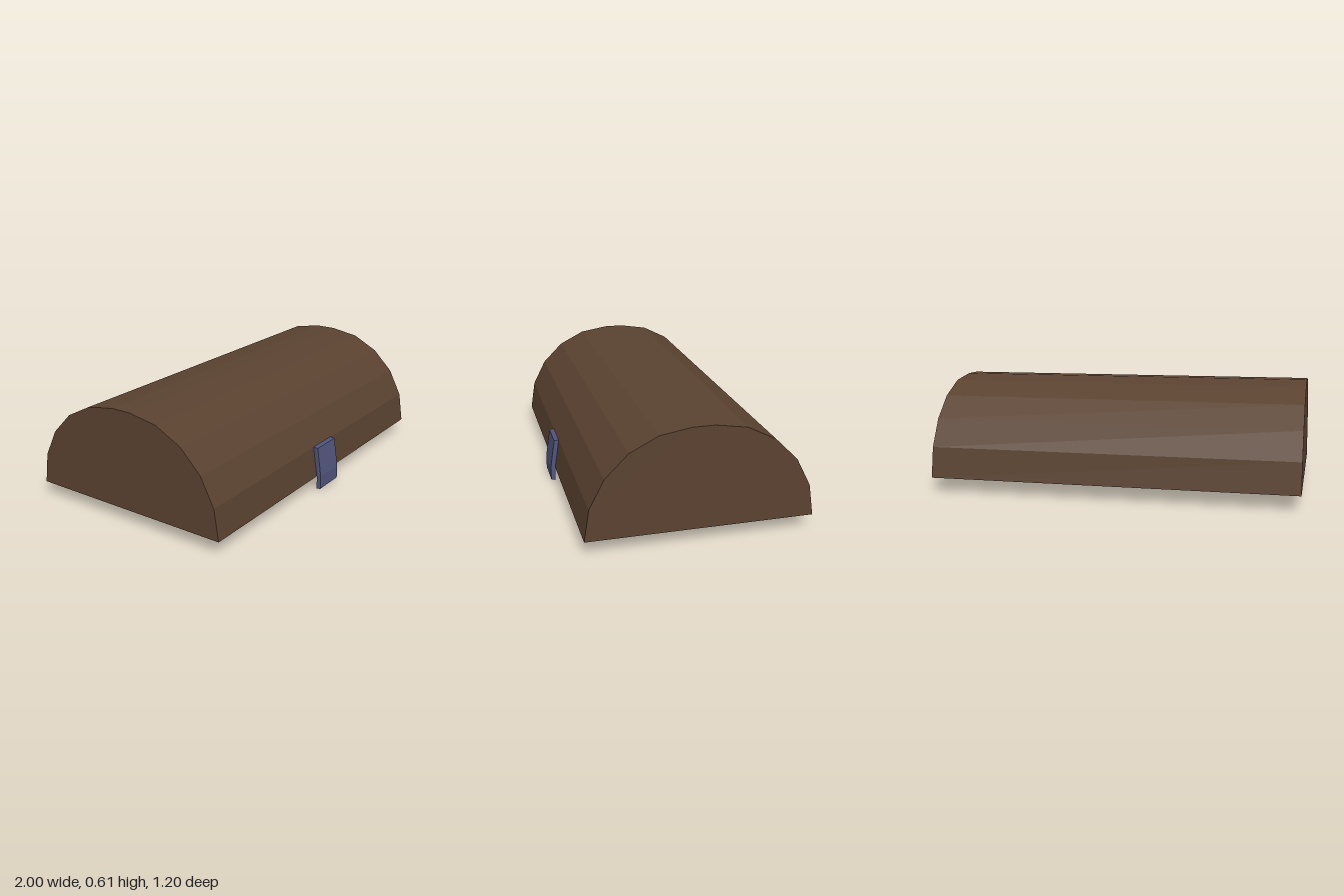
import * as THREE from 'three';

const brown = new THREE.MeshStandardMaterial({ color: 0x5a4230, flatShading: true, side: THREE.DoubleSide });
const steel = new THREE.MeshStandardMaterial({ color: 0x50547c, flatShading: true });

const HALF_LENGTH = 1;
const CENTER_Z = -0.013;

// Half of the arched section as [distance from centre, height], rim to crown
const halfArch = [[0.587, 0.075], [0.561, 0.242], [0.485, 0.39], [0.367, 0.508], [0.22, 0.583], [0.056, 0.61]];
const arch = [...halfArch, ...halfArch.map(([z, y]) => [-z, y]).reverse()];

function addMesh(parent, name, geometry, material) {
  const mesh = new THREE.Mesh(geometry, material);
  mesh.name = name;
  parent.add(mesh);
  return mesh;
}

// Strip of flat planks along x following the arch, open underneath
function archGeometry() {
  const positions = [];
  for (let i = 0; i < arch.length - 1; i++) {
    const [z0, y0] = arch[i], [z1, y1] = arch[i + 1];
    const a = [-HALF_LENGTH, y0, z0], b = [HALF_LENGTH, y0, z0];
    const c = [HALF_LENGTH, y1, z1], d = [-HALF_LENGTH, y1, z1];
    positions.push(...a, ...b, ...c, ...a, ...c, ...d);
  }
  const geometry = new THREE.BufferGeometry();
  geometry.setAttribute('position', new THREE.Float32BufferAttribute(positions, 3));
  geometry.computeVertexNormals();
  return geometry;
}

export function createModel() {
  const model = new THREE.Group();
  model.name = 'chestLid';

  // Hollow lid: arched top and two end panels
  const lid = new THREE.Group();
  lid.name = 'lid';
  lid.position.z = CENTER_Z;
  model.add(lid);
  addMesh(lid, 'archedTop', archGeometry(), brown);
  const endShape = new THREE.Shape(arch.map(([z, y]) => new THREE.Vector2(z, y)));
  for (const side of [-1, 1]) {
    const end = addMesh(lid, side > 0 ? 'leftEnd' : 'rightEnd', new THREE.ShapeGeometry(endShape), brown);
    end.rotation.y = side * Math.PI / 2;
    end.position.x = side * HALF_LENGTH;
  }

  // Bent latch plate, lying on the lowest front plank and hanging below the rim
  const width = 0.186;
  const latchProfile = [[0.6, 0.006], [0.6, 0.08], [0.575, 0.242], [0.549, 0.245], [0.575, 0.075], [0.577, 0]];
  const latchShape = new THREE.Shape(latchProfile.map(([z, y]) => new THREE.Vector2(-z, y)));
  const latchGeometry = new THREE.ExtrudeGeometry(latchShape, { depth: width, bevelEnabled: false });
  latchGeometry.translate(0, 0, -width / 2).rotateY(Math.PI / 2);
  addMesh(model, 'latch', latchGeometry, steel);

  return model;
}
